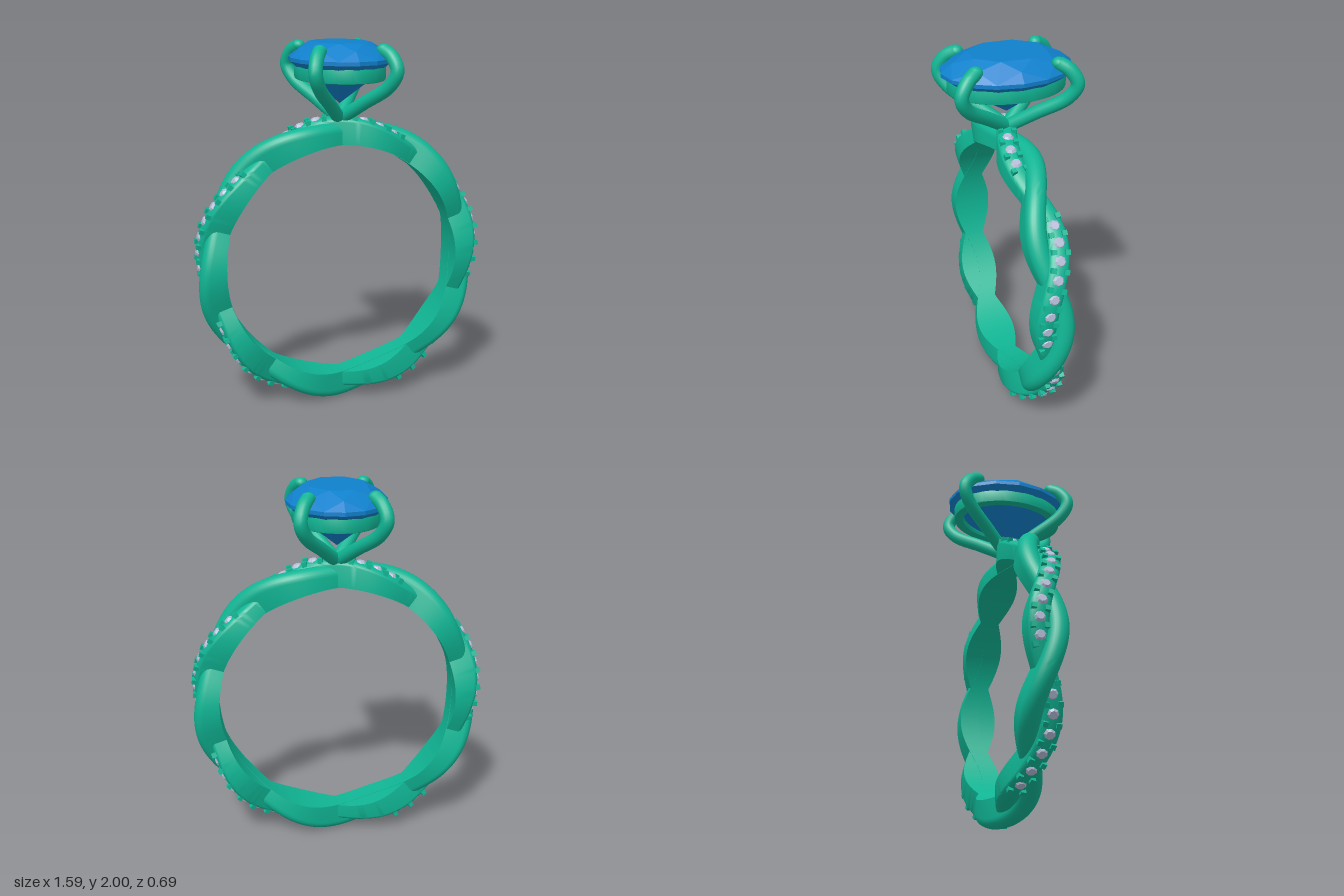
import * as THREE from 'three';
import { toCreasedNormals } from 'three/addons/utils/BufferGeometryUtils.js';
import { ConvexGeometry } from 'three/addons/geometries/ConvexGeometry.js';

const CY = 0.807;      // height of the band's centre
const INNER = 0.65;    // finger hole radius
const SWAY = 0.05;     // sideways swing of each strand
const TWISTS = 5;
const rad = THREE.MathUtils.degToRad;

const metal = new THREE.MeshStandardMaterial({ color: 0x10b594 });
const blue = new THREE.MeshStandardMaterial({ color: 0x1080cc, flatShading: true });
const pale = new THREE.MeshStandardMaterial({ color: 0xb4bcd6, flatShading: true });

function add(parent, name, geometry, material) {
  const mesh = new THREE.Mesh(geometry, material);
  mesh.name = name;
  parent.add(mesh);
  return mesh;
}

// Strand paths: angle a runs clockwise from the top of the band
const strandZ = (a, sign) => sign * SWAY * Math.sin(TWISTS * a);
const strandR = (a, sign) =>
  (sign > 0 ? 0.775 : 0.786) + sign * (sign > 0 ? 0.025 : 0.021) * Math.cos(TWISTS * a);

// D-shaped section swept round the band: flat inside, domed outside
function strandGeometry(sign, crown, inner) {
  const steps = 240, arc = 12, half = 0.055;
  const positions = [], index = [];
  const count = arc + 3;
  for (let i = 0; i < steps; i++) {
    const a = (i / steps) * Math.PI * 2;
    const top = strandR(a, sign), z0 = strandZ(a, sign);
    const section = [[half, inner]];
    for (let j = 0; j <= arc; j++) {
      const t = (j / arc) * Math.PI;
      section.push([half * Math.cos(t), top - crown + crown * Math.sin(t)]);
    }
    section.push([-half, inner]);
    for (const [z, r] of section) {
      positions.push(r * Math.sin(a), CY + r * Math.cos(a), z0 + z);
    }
  }
  for (let i = 0; i < steps; i++) {
    for (let j = 0; j < count; j++) {
      const k = (j + 1) % count, n = (i + 1) % steps;
      const p = i * count + j, q = n * count + j, s = i * count + k, u = n * count + k;
      index.push(p, q, s, q, u, s);
    }
  }
  const g = new THREE.BufferGeometry();
  g.setAttribute('position', new THREE.Float32BufferAttribute(positions, 3));
  g.setIndex(index);
  return toCreasedNormals(g, rad(40));
}

// Places an object on top of the jewelled strand
function onStrand(object, a) {
  const r = strandR(a, 1);
  object.position.set(r * Math.sin(a), CY + r * Math.cos(a), strandZ(a, 1));
  object.rotation.order = 'ZYX';
  object.rotation.z = -a;
  object.rotation.y = -Math.atan((TWISTS * SWAY * Math.cos(TWISTS * a)) / r);
}

function ellipse(points, n, scale, y, turn = 0) {
  for (let i = 0; i < n; i++) {
    const t = ((i + turn) / n) * Math.PI * 2;
    points.push(new THREE.Vector3(0.267 * scale * Math.cos(t), y, 0.345 * scale * Math.sin(t)));
  }
}

function createBand() {
  const band = new THREE.Group();
  band.name = 'band';
  add(band, 'plainStrand', strandGeometry(-1, 0.05, INNER), metal);
  add(band, 'jewelledStrand', strandGeometry(1, 0.028, INNER + 0.002), metal);

  // Small stones with a pair of claws between neighbours
  const gem = new THREE.CylinderGeometry(0.02, 0.032, 0.014, 8);
  const claw = new THREE.BoxGeometry(0.026, 0.034, 0.026);
  const runs = [[9, 22, 3], [50, 96, 8], [117, 152, 6]];
  for (const side of [1, -1]) {
    for (const [from, to, n] of runs) {
      const step = (to - from) / (n - 1);
      for (let i = 0; i <= n; i++) {
        if (i < n) {
          const stone = add(band, 'smallStone', gem, pale);
          onStrand(stone, side * rad(from + i * step));
        }
        const pair = new THREE.Group();
        pair.name = 'clawPair';
        for (const z of [-0.034, 0.034]) {
          add(pair, 'claw', claw, metal).position.set(0, -0.006, z);
        }
        onStrand(pair, side * rad(from + (i - 0.5) * step));
        band.add(pair);
      }
    }
  }
  return band;
}

function createHead() {
  const head = new THREE.Group();
  head.name = 'head';

  // Faceted oval stone: table, crown, girdle, pavilion, culet
  const points = [];
  ellipse(points, 8, 0.6, 2.0, 0.5);
  ellipse(points, 8, 0.83, 1.965);
  ellipse(points, 16, 1, 1.92);
  ellipse(points, 16, 1, 1.9);
  ellipse(points, 8, 0.54, 1.79, 0.5);
  points.push(new THREE.Vector3(0, 1.675, 0));
  add(head, 'centreStone', new ConvexGeometry(points), blue);

  // Oval rail under the girdle
  const rail = new THREE.Shape().absellipse(0, 0, 0.235, 0.31, 0, Math.PI * 2);
  rail.holes.push(new THREE.Path().absellipse(0, 0, 0.185, 0.255, 0, Math.PI * 2, true));
  const railGeometry = new THREE.ExtrudeGeometry(rail, {
    depth: 0.06, bevelEnabled: true, bevelThickness: 0.01, bevelSize: 0.008,
    bevelOffset: -0.008, bevelSegments: 2, curveSegments: 32,
  });
  railGeometry.rotateX(-Math.PI / 2);
  add(head, 'rail', toCreasedNormals(railGeometry, rad(35)), metal).position.y = 1.815;

  // Four prongs rising from the band and folding over the stone
  for (const sx of [1, -1]) {
    for (const sz of [1, -1]) {
      const path = [
        [0, 1.59, 0], [0.09, 1.685, 0.13], [0.185, 1.785, 0.265],
        [0.215, 1.865, 0.302], [0.197, 1.935, 0.265], [0.168, 1.968, 0.215],
      ].map(([x, y, z]) => new THREE.Vector3(sx * x, y, sz * z));
      const curve = new THREE.CatmullRomCurve3(path);
      const prong = new THREE.Group();
      prong.name = 'prong';
      add(prong, 'prongStem', new THREE.TubeGeometry(curve, 32, 0.036, 14), metal);
      const tip = new THREE.SphereGeometry(0.036, 14, 10);
      add(prong, 'prongTip', tip, metal).position.copy(path[5]);
      tip.scale(1, 0.85, 1);
      head.add(prong);
    }
  }
  return head;
}

export function createModel() {
  const ring = new THREE.Group();
  ring.name = 'ring';
  ring.add(createBand(), createHead());
  return ring;
}
